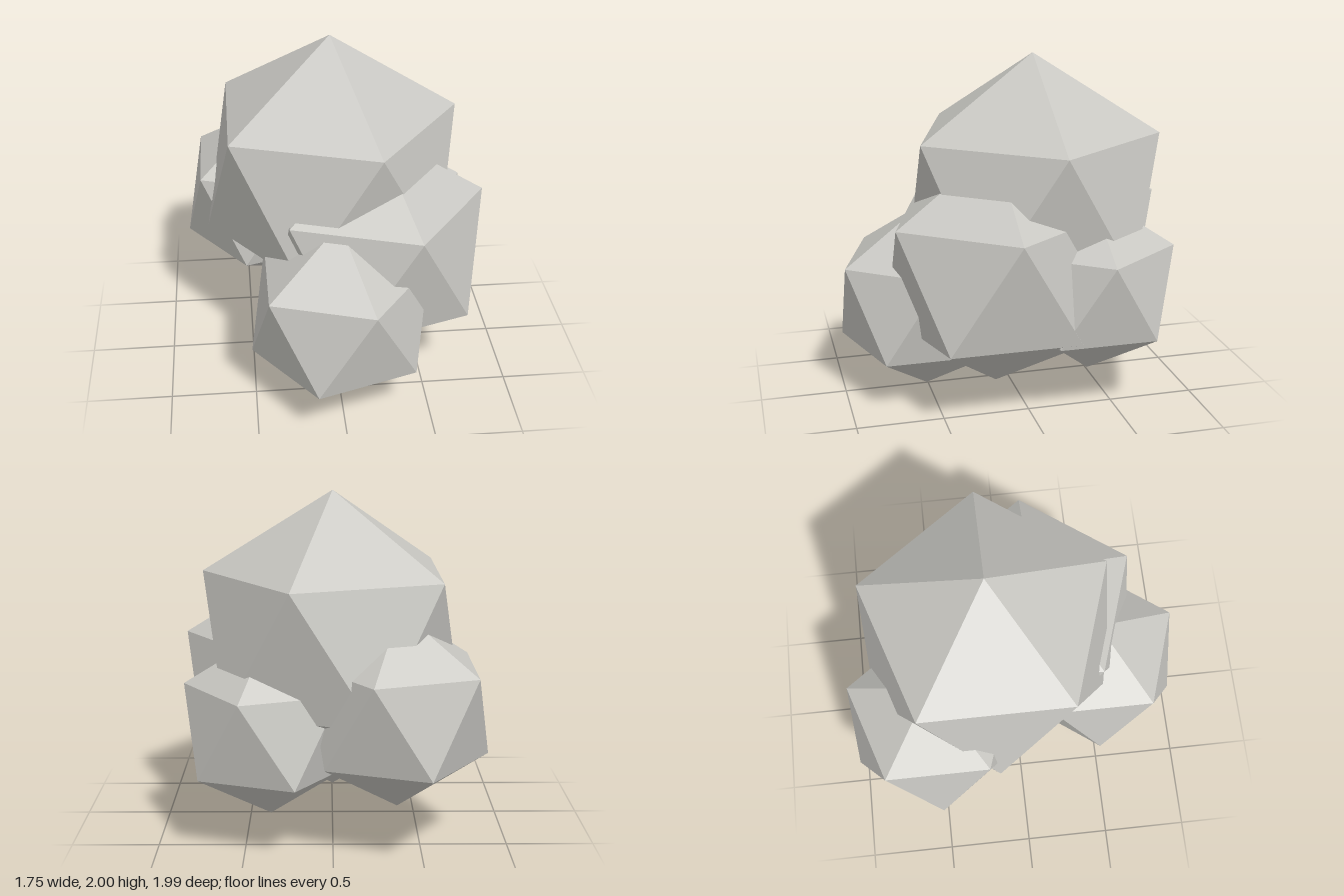
import * as THREE from 'three';

const stone = new THREE.MeshStandardMaterial({ color: 0xc8c7c2, flatShading: true });
stone.name = 'pale grey stone';

// Each boulder: name, radius, centre x, y, z
const boulders = [
  ['mainBoulder', 0.83, 0, 1.17, -0.15],
  ['leftBoulder', 0.715, 0.235, 0.80, 0.13],
  ['frontBoulder', 0.57, -0.005, 0.573, 0.507],
  ['backLeftBoulder', 0.54, 0.357, 0.70, -0.40],
  ['backRightBoulder', 0.57, -0.365, 0.815, -0.51],
];

// Icosahedron standing on a corner, with an upper-ring corner towards +x
function boulderGeometry(radius) {
  const golden = (1 + Math.sqrt(5)) / 2;
  return new THREE.IcosahedronGeometry(radius, 0).rotateZ(-Math.atan(1 / golden));
}

export function createModel() {
  const model = new THREE.Group();
  model.name = 'rockCluster';
  for (const [name, radius, x, y, z] of boulders) {
    const boulder = new THREE.Mesh(boulderGeometry(radius), stone);
    boulder.name = name;
    boulder.position.set(x, y, z);
    model.add(boulder);
  }
  return model;
}
